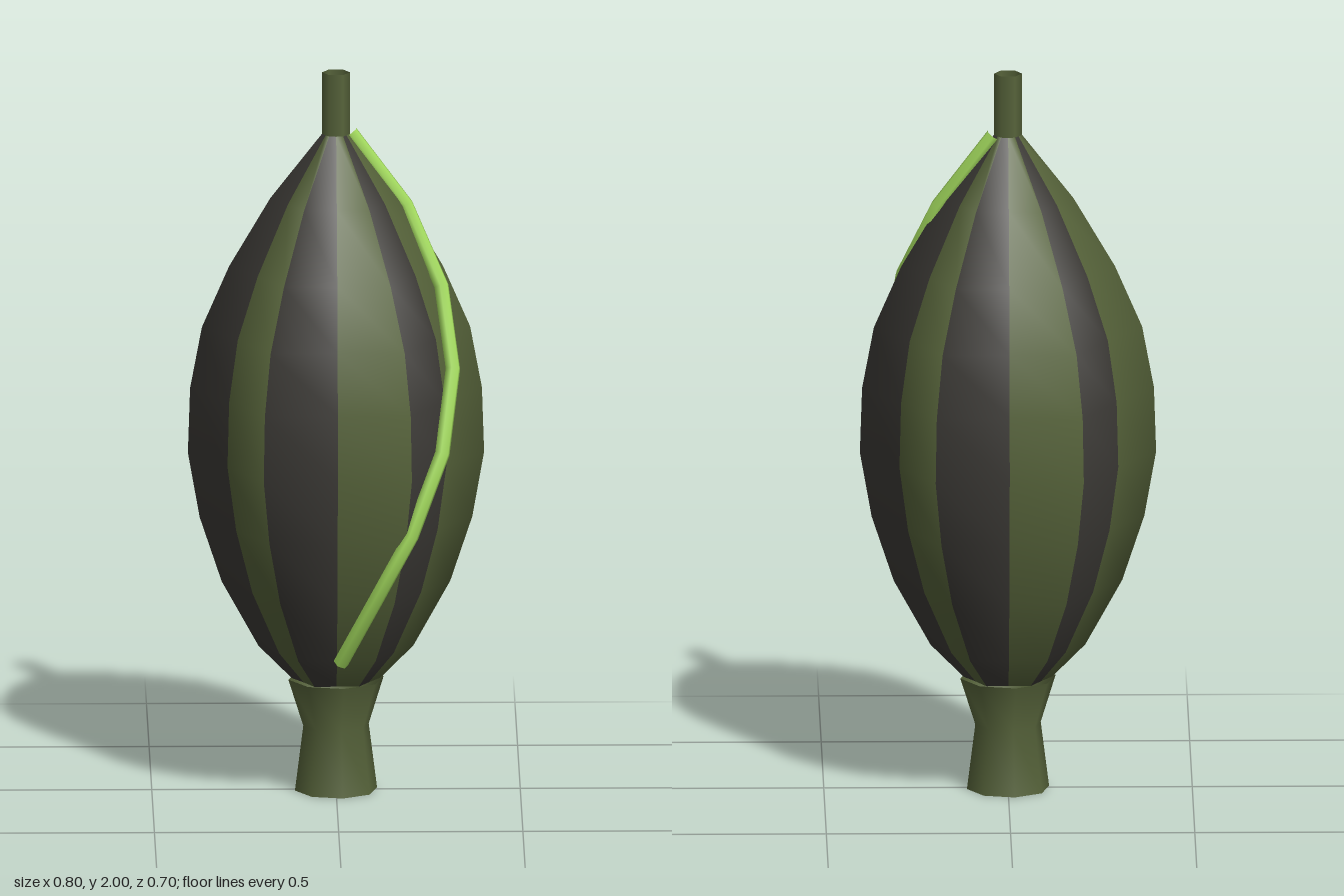
import * as THREE from 'three';

const green = new THREE.MeshStandardMaterial({ color: 0x56633a, side: THREE.DoubleSide });
green.name = 'pod green';
const dark = new THREE.MeshStandardMaterial({ color: 0x3c3a36 });
dark.name = 'pod dark stripe';
const lime = new THREE.MeshStandardMaterial({ color: 0xa4dc5e });
lime.name = 'vine lime';

function part(name, geometry, material) {
  const mesh = new THREE.Mesh(geometry, material);
  mesh.name = name;
  return mesh;
}

// Six-ribbed pod: rows of 12 points, with the points between ribs pulled inwards
function podGeometry() {
  const profile = [
    [0.12, 0.31], [0.21, 0.4], [0.31, 0.58], [0.37, 0.76], [0.402, 0.94],
    [0.396, 1.12], [0.364, 1.29], [0.29, 1.46], [0.178, 1.65], [0.037, 1.83],
  ];
  const sides = 12;
  const positions = [];
  for (const [radius, y] of profile) {
    for (let k = 0; k < sides; k++) {
      const a = (k / sides) * Math.PI * 2;
      const r = k % 2 ? radius * 0.853 : radius;
      positions.push(r * Math.cos(a), y, r * Math.sin(a));
    }
  }
  const geometry = new THREE.BufferGeometry();
  const index = [];
  for (let k = 0; k < sides; k++) {
    const next = (k + 1) % sides;
    geometry.addGroup(index.length, (profile.length - 1) * 6, k % 2);
    for (let row = 0; row < profile.length - 1; row++) {
      const low = row * sides;
      const high = low + sides;
      index.push(low + k, high + k, high + next, low + k, high + next, low + next);
    }
  }
  geometry.setAttribute('position', new THREE.Float32BufferAttribute(positions, 3));
  geometry.setIndex(index);
  geometry.computeVertexNormals();
  return geometry;
}

// Straight-segment path that visits each point exactly
class Polyline extends THREE.Curve {
  constructor(points) {
    super();
    this.points = points;
  }
  getPoint(t, target = new THREE.Vector3()) {
    const s = t * (this.points.length - 1);
    const i = Math.min(Math.floor(s), this.points.length - 2);
    return target.lerpVectors(this.points[i], this.points[i + 1], s - i);
  }
  getUtoTmapping(u) {
    return u;
  }
}

export function createModel() {
  const model = new THREE.Group();
  model.name = 'seedPod';

  model.add(part('pod', podGeometry(), [green, dark]));

  // Hollow stem on top
  const stem = part('stem',
    new THREE.CylinderGeometry(0.038, 0.038, 0.19, 6, 1, true, Math.PI / 2), green);
  stem.position.y = 1.905;
  model.add(stem);

  // Flared foot with a closed underside
  const footProfile = [[0.113, 0], [0.09, 0.18], [0.131, 0.31]]
    .map(([r, y]) => new THREE.Vector2(r, y));
  model.add(part('foot', new THREE.LatheGeometry(footProfile, 8, 0.15), green));
  const underside = new THREE.MeshStandardMaterial({ color: 0x56633a });
  underside.name = 'pod green underside';
  const sole = part('sole',
    new THREE.CircleGeometry(0.113, 8, Math.PI / 2 - 0.15), underside);
  sole.rotation.x = Math.PI / 2;
  model.add(sole);

  // Vine winding down the left side to the front
  const path = [
    [0.04, 1.83, -0.01], [0.19, 1.63, 0], [0.285, 1.42, 0.07], [0.315, 1.21, 0.16],
    [0.285, 1, 0.27], [0.2, 0.78, 0.315], [0.105, 0.6, 0.3], [0.01, 0.4, 0.205],
  ].map((p) => new THREE.Vector3(...p));
  model.add(part('vine', new THREE.TubeGeometry(new Polyline(path), path.length - 1, 0.021, 6), lime));

  return model;
}
